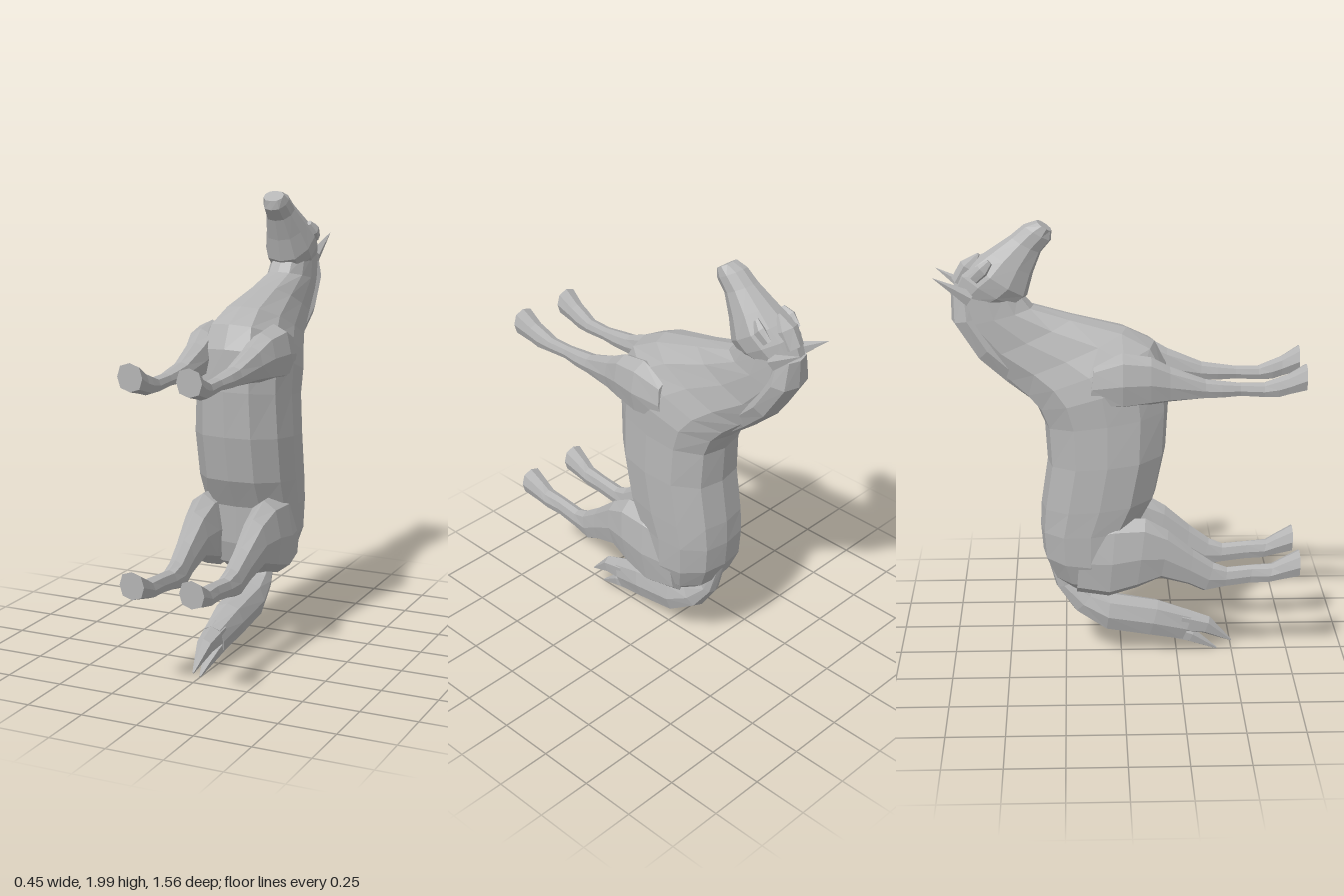
import * as THREE from 'three';

const grey = new THREE.MeshStandardMaterial({ color: 0xb4b4b4 });
grey.name = 'grey coat';

// Skin over cross-sections. Each section: [yA, zA, yB, zB, half width, x centre],
// where A and B are the two ends of the section in the side plane.
function loft(name, sections, sides = 8, side = 1) {
  const pos = [], index = [];
  for (const [ya, za, yb, zb, w, x0 = 0] of sections) {
    for (let k = 0; k < sides; k++) {
      const a = (k / sides) * Math.PI * 2;
      const fat = 1 + 0.07 * Math.abs(Math.sin(2 * a));
      const c = Math.cos(a) * fat / 2, s = Math.sin(a) * fat;
      pos.push(side * x0 + s * w, (ya + yb) / 2 + c * (ya - yb), (za + zb) / 2 + c * (za - zb));
    }
  }
  const last = sections.length - 1;
  for (let i = 0; i < last; i++) {
    for (let k = 0; k < sides; k++) {
      const n = (k + 1) % sides;
      const a = i * sides + k, b = i * sides + n;
      index.push(a, b, b + sides, a, b + sides, a + sides);
    }
  }
  // end caps
  for (let k = 1; k < sides - 1; k++) {
    index.push(0, k + 1, k);
    const o = last * sides;
    index.push(o, o + k, o + k + 1);
  }
  const indexed = new THREE.BufferGeometry();
  indexed.setAttribute('position', new THREE.Float32BufferAttribute(pos, 3));
  indexed.setIndex(index);
  const geo = indexed.toNonIndexed();
  geo.computeVertexNormals();
  const mesh = new THREE.Mesh(geo, grey);
  mesh.name = name;
  return mesh;
}

export function createModel() {
  const horse = new THREE.Group();
  horse.name = 'horse';

  // rump, barrel, chest and neck
  horse.add(loft('bodyAndNeck', [
    [0.345, -0.02, 0.36, -0.23, 0.11],
    [0.40, 0.04, 0.42, -0.30, 0.17],
    [0.50, 0.07, 0.52, -0.345, 0.20],
    [0.67, 0.08, 0.64, -0.355, 0.205],
    [0.80, 0.15, 0.75, -0.35, 0.21],
    [1.00, 0.19, 0.95, -0.32, 0.212],
    [1.20, 0.20, 1.12, -0.33, 0.202],
    [1.38, 0.19, 1.20, -0.365, 0.20],
    [1.48, 0.14, 1.26, -0.42, 0.175],
    [1.54, 0.02, 1.32, -0.49, 0.14],
    [1.595, -0.20, 1.41, -0.60, 0.105],
    [1.64, -0.37, 1.56, -0.70, 0.092],
    [1.70, -0.42, 1.69, -0.71, 0.085],
  ], 12));

  // mane lying over the crest
  horse.add(loft('mane', [
    [1.27, -0.30, 1.21, -0.37, 0.03],
    [1.42, -0.42, 1.31, -0.495, 0.085],
    [1.52, -0.52, 1.415, -0.61, 0.10],
    [1.61, -0.58, 1.58, -0.715, 0.095],
    [1.72, -0.60, 1.70, -0.715, 0.07],
  ]));

  // head from poll to muzzle
  horse.add(loft('head', [
    [1.63, -0.52, 1.71, -0.71, 0.075],
    [1.645, -0.44, 1.79, -0.675, 0.098],
    [1.685, -0.395, 1.835, -0.62, 0.104],
    [1.78, -0.37, 1.88, -0.55, 0.083],
    [1.87, -0.335, 1.94, -0.46, 0.06],
    [1.92, -0.292, 1.985, -0.405, 0.054],
    [1.96, -0.29, 2.00, -0.35, 0.045],
  ], 10));

  // tuft over the forehead
  horse.add(loft('forelock', [
    [1.72, -0.64, 1.76, -0.71, 0.045],
    [1.79, -0.60, 1.83, -0.67, 0.05],
    [1.86, -0.59, 1.865, -0.60, 0.008],
  ], 6));

  // tail with a forked end
  horse.add(loft('tail', [
    [0.50, -0.335, 0.48, -0.26, 0.03],
    [0.34, -0.29, 0.36, -0.22, 0.04],
    [0.22, -0.21, 0.31, -0.13, 0.06],
    [0.125, -0.07, 0.292, -0.05, 0.078],
    [0.09, 0.12, 0.255, 0.165, 0.07],
    [0.06, 0.27, 0.20, 0.32, 0.048],
  ]));
  horse.add(loft('tailTipLower', [
    [0.075, 0.20, 0.15, 0.24, 0.045],
    [0.05, 0.30, 0.11, 0.33, 0.035],
    [0.008, 0.43, 0.015, 0.435, 0.004],
  ], 6));
  horse.add(loft('tailTipUpper', [
    [0.10, 0.25, 0.215, 0.28, 0.05],
    [0.09, 0.37, 0.17, 0.40, 0.035],
    [0.048, 0.497, 0.054, 0.50, 0.004],
  ], 6));

  for (const side of [1, -1]) {
    const label = side > 0 ? 'left' : 'right';

    // shoulder down to hoof
    horse.add(loft(label + 'ForeLeg', [
      [1.23, -0.14, 1.42, -0.12, 0.05, 0.145],
      [1.225, 0.00, 1.47, 0.00, 0.08, 0.145],
      [1.24, 0.12, 1.45, 0.12, 0.066, 0.14],
      [1.25, 0.20, 1.405, 0.20, 0.054, 0.13],
      [1.26, 0.35, 1.345, 0.35, 0.04, 0.12],
      [1.262, 0.42, 1.335, 0.42, 0.038, 0.118],
      [1.268, 0.50, 1.325, 0.50, 0.03, 0.115],
      [1.262, 0.60, 1.325, 0.60, 0.032, 0.117],
      [1.262, 0.66, 1.35, 0.66, 0.04, 0.122],
      [1.275, 0.70, 1.365, 0.70, 0.042, 0.125],
      [1.295, 0.775, 1.412, 0.775, 0.056, 0.13],
    ], 8, side));

    // haunch down to hoof
    horse.add(loft(label + 'HindLeg', [
      [0.37, -0.20, 0.68, -0.18, 0.055, 0.135],
      [0.35, -0.06, 0.72, -0.03, 0.08, 0.14],
      [0.39, 0.06, 0.72, 0.10, 0.072, 0.145],
      [0.435, 0.165, 0.66, 0.20, 0.058, 0.14],
      [0.40, 0.29, 0.565, 0.31, 0.045, 0.135],
      [0.365, 0.36, 0.50, 0.40, 0.04, 0.13],
      [0.385, 0.45, 0.475, 0.46, 0.034, 0.128],
      [0.40, 0.56, 0.485, 0.57, 0.032, 0.127],
      [0.405, 0.64, 0.49, 0.66, 0.038, 0.13],
      [0.42, 0.70, 0.515, 0.70, 0.044, 0.132],
      [0.437, 0.775, 0.556, 0.775, 0.056, 0.135],
    ], 8, side));

    // pointed ear, leaning back
    const ear = new THREE.Mesh(new THREE.ConeGeometry(0.036, 0.18, 5).toNonIndexed(), grey);
    ear.geometry.computeVertexNormals();
    ear.geometry.scale(0.75, 1, 1);
    ear.geometry.computeVertexNormals();
    ear.name = label + 'Ear';
    const root = new THREE.Vector3(side * 0.068, 1.69, -0.635);
    const tip = new THREE.Vector3(side * 0.085, 1.78, -0.78);
    ear.position.copy(root).lerp(tip, 0.5);
    ear.quaternion.setFromUnitVectors(new THREE.Vector3(0, 1, 0), tip.sub(root).normalize());
    horse.add(ear);

    // brow ridge over the eye
    horse.add(loft(label + 'Brow', [
      [1.755, -0.595, 1.79, -0.635, 0.012, 0.085],
      [1.79, -0.555, 1.835, -0.595, 0.02, 0.088],
      [1.835, -0.535, 1.855, -0.555, 0.01, 0.076],
    ], 6, side));
  }

  return horse;
}
